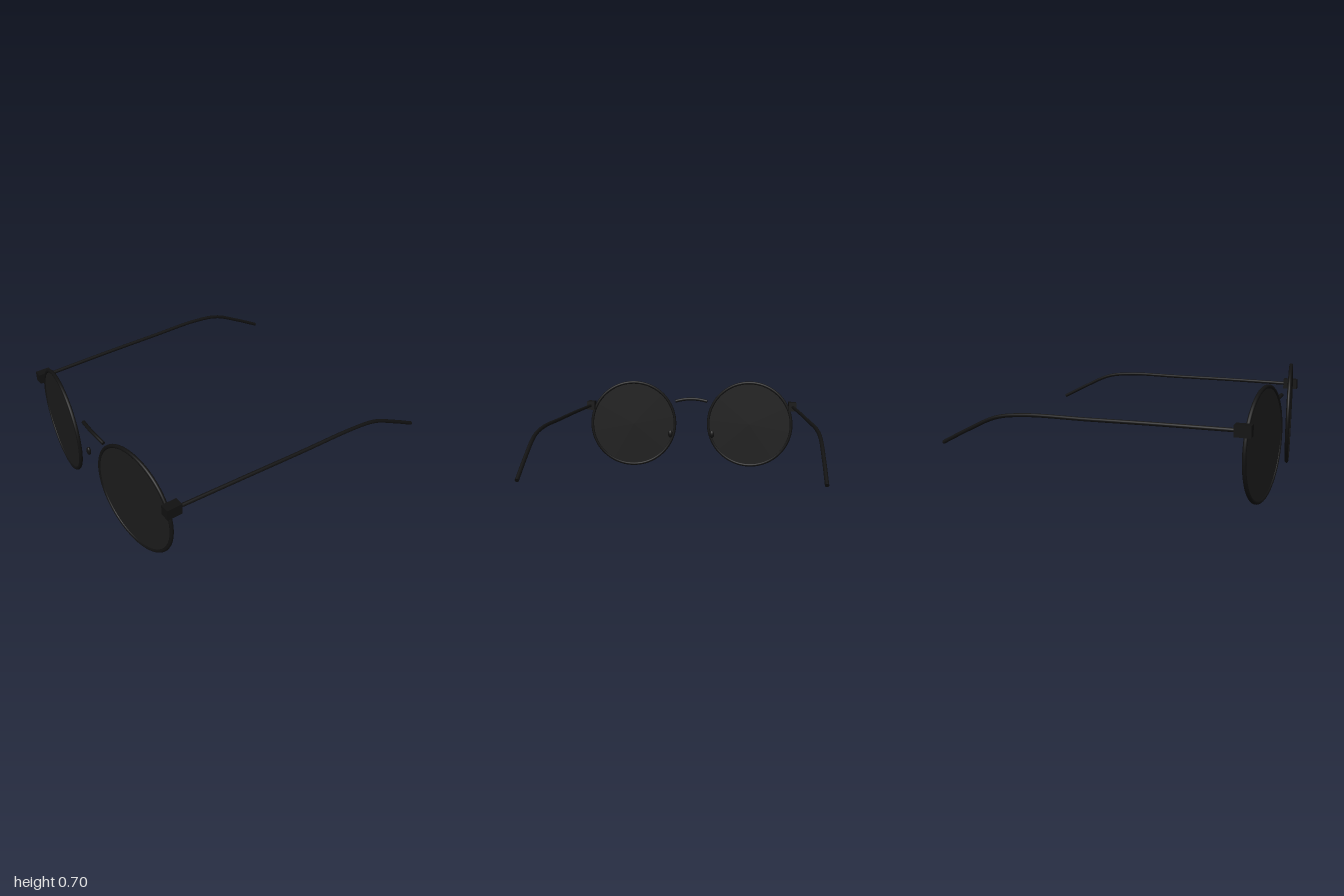
import * as THREE from 'three';

const frameMat = new THREE.MeshStandardMaterial({ color: 0x111111 });
const lensMat = new THREE.MeshStandardMaterial({ color: 0x1c1c1c });

function addMesh(parent, name, geometry, material, x = 0, y = 0, z = 0) {
  const mesh = new THREE.Mesh(geometry, material);
  mesh.name = name;
  mesh.position.set(x, y, z);
  parent.add(mesh);
  return mesh;
}

// Round wire along a smooth path, closed by a flat disc at each end
function wire(name, points, radius, segments) {
  const group = new THREE.Group();
  group.name = name;
  const curve = new THREE.CatmullRomCurve3(points.map((p) => new THREE.Vector3(...p)));
  addMesh(group, name + 'Rod', new THREE.TubeGeometry(curve, segments, radius, 12), frameMat);
  for (const t of [0, 1]) {
    const end = curve.getPointAt(t);
    const outward = curve.getTangentAt(t).multiplyScalar(t ? 1 : -1);
    const cap = addMesh(group, name + 'Cap', new THREE.CircleGeometry(radius, 12), frameMat, end.x, end.y, end.z);
    cap.quaternion.setFromUnitVectors(new THREE.Vector3(0, 0, 1), outward);
  }
  return group;
}

export function createModel() {
  const glasses = new THREE.Group();
  glasses.name = 'glasses';

  for (const side of [1, -1]) {
    const label = side > 0 ? 'left' : 'right';

    // Round rim and flat lens, swept back towards the temple
    const eye = new THREE.Group();
    eye.name = label + 'Eye';
    eye.position.set(side * 0.475, 0.351, 0.945);
    eye.rotation.y = side * 0.122;
    addMesh(eye, label + 'Rim', new THREE.TorusGeometry(0.339, 0.012, 12, 72), frameMat);
    const lens = addMesh(eye, label + 'Lens', new THREE.CylinderGeometry(0.336, 0.336, 0.01, 72), lensMat);
    lens.rotation.x = Math.PI / 2;
    glasses.add(eye);

    // Hinge block
    addMesh(glasses, label + 'Hinge', new THREE.BoxGeometry(0.06, 0.068, 0.096), frameMat,
      side * 0.815, 0.506, 0.897);

    // Temple arm, bowed outwards and curving down behind the ear
    glasses.add(wire(label + 'Temple', [
      [side * 0.817, 0.505, 0.88],
      [side * 0.838, 0.507, 0.4],
      [side * 0.853, 0.505, 0],
      [side * 0.865, 0.503, -0.4],
      [side * 0.866, 0.475, -0.6],
      [side * 0.863, 0.385, -0.8],
      [side * 0.858, 0.285, -0.994],
    ], 0.012, 64));

    // Nose pad
    const pad = addMesh(glasses, label + 'NosePad', new THREE.SphereGeometry(1, 20, 14), frameMat,
      side * 0.171, 0.27, 0.917);
    pad.scale.set(0.019, 0.03, 0.014);
  }

  // Arched bridge
  glasses.add(wire('bridge', [
    [-0.13, 0.538, 0.942],
    [-0.065, 0.551, 0.951],
    [0, 0.555, 0.955],
    [0.065, 0.551, 0.951],
    [0.13, 0.538, 0.942],
  ], 0.012, 28));

  return glasses;
}
